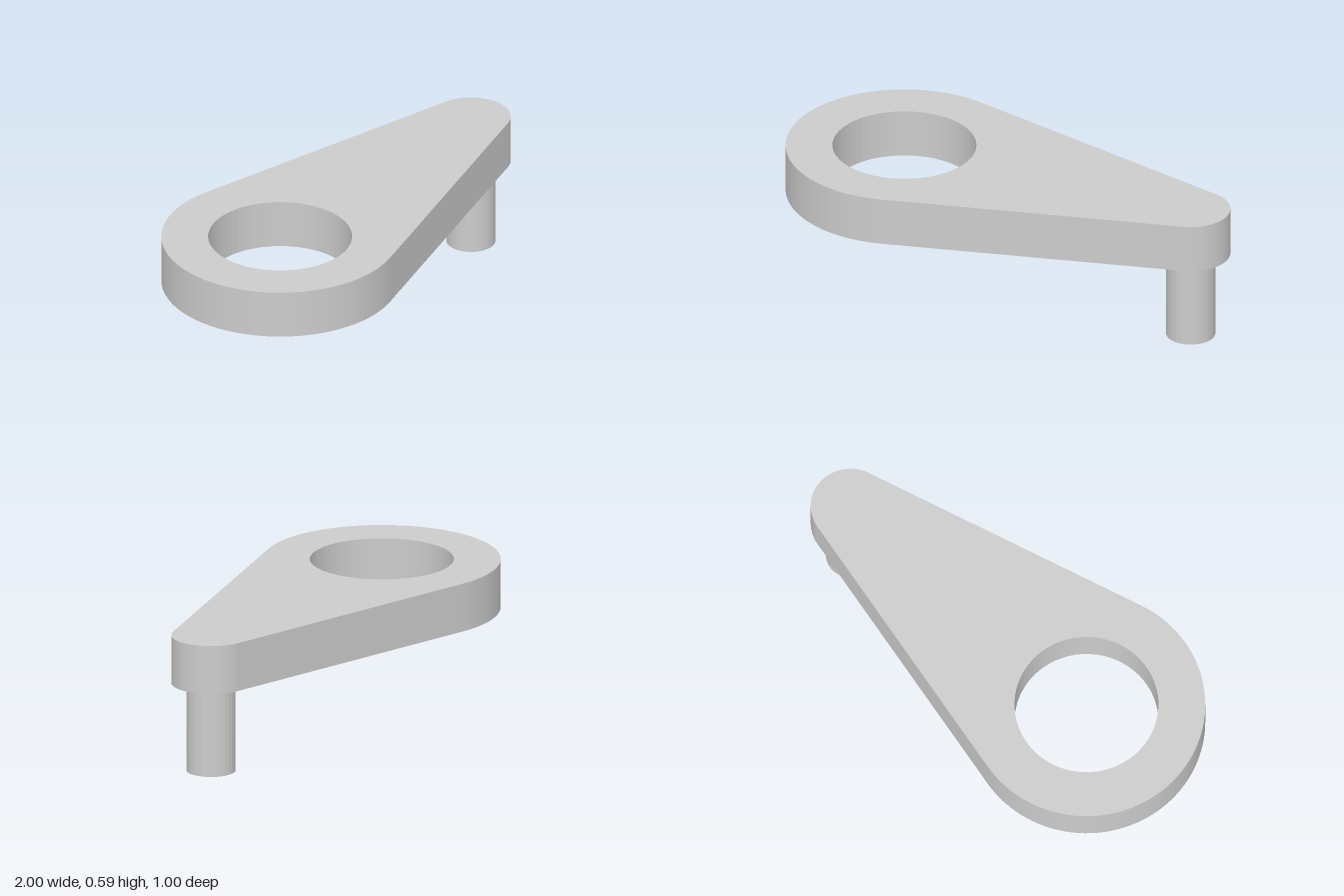
import * as THREE from 'three';

export function createModel() {
  const group = new THREE.Group();
  const material = new THREE.MeshStandardMaterial({ color: 0xcccccc, flatShading: true });

  const bigX = -0.5, bigR = 0.5, holeR = 0.303;
  const smallX = 0.833, smallR = 0.167;
  const plateBottom = 0.383, plateTop = 0.593;
  const pinR = 0.104;

  // Teardrop arm: two arcs joined by their common tangents, with a round bore
  const tangent = Math.acos((bigR - smallR) / (smallX - bigX));
  const outline = new THREE.Shape();
  outline.absarc(bigX, 0, bigR, tangent, 2 * Math.PI - tangent, false);
  outline.absarc(smallX, 0, smallR, -tangent, tangent, false);
  outline.closePath();
  const bore = new THREE.Path();
  bore.absarc(bigX, 0, holeR, 0, 2 * Math.PI, true);
  outline.holes.push(bore);

  const armGeometry = new THREE.ExtrudeGeometry(outline, {
    depth: plateTop - plateBottom, bevelEnabled: false, curveSegments: 32,
  });
  armGeometry.rotateX(-Math.PI / 2);
  const arm = new THREE.Mesh(armGeometry, material);
  arm.name = 'arm';
  arm.position.y = plateBottom;
  group.add(arm);

  // Round pin hanging below the narrow end
  const pin = new THREE.Mesh(
    new THREE.CylinderGeometry(pinR, pinR, plateBottom, 32), material);
  pin.name = 'pin';
  pin.position.set(smallX, plateBottom / 2, 0);
  group.add(pin);

  return group;
}
